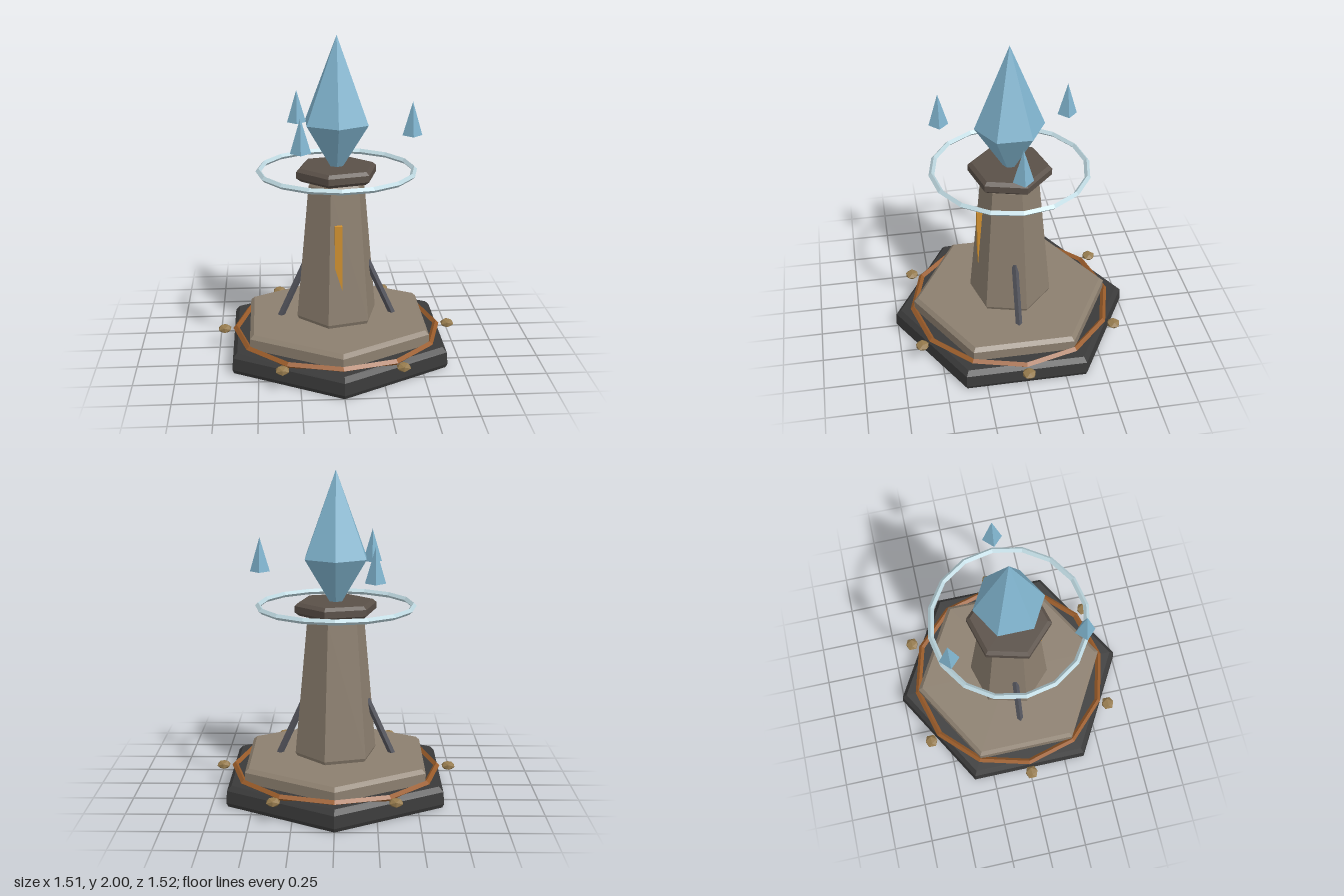
import * as THREE from 'three';

const paint = (name, color) => {
  const m = new THREE.MeshStandardMaterial({ color });
  m.name = name;
  return m;
};

export function createModel() {
  const group = new THREE.Group();
  const basalt = paint('basalt', 0x3a3a3a);
  const stone = paint('stone', 0x8c7f6f);
  const darkStone = paint('dark stone', 0x5a5048);
  const bronze = paint('bronze', 0x9a5c2a);
  const brass = paint('brass', 0x94794c);
  const crystalBlue = paint('crystal blue', 0x80b4ce);
  const paleSilver = paint('pale silver', 0xbcd6de);
  const amber = paint('amber', 0xd0902f);
  const iron = paint('iron', 0x55565e);

  // Faceted mesh: unshared vertices give flat normals
  const add = (name, geometry, material, x = 0, y = 0, z = 0) => {
    const flat = geometry.index ? geometry.toNonIndexed() : geometry;
    flat.computeVertexNormals();
    const mesh = new THREE.Mesh(flat, material);
    mesh.name = name;
    mesh.position.set(x, y, z);
    group.add(mesh);
    return mesh;
  };
  // Six-sided solid from [radius, height] pairs, bottom to top
  const hexSolid = (profile) =>
    new THREE.LatheGeometry(profile.map(([r, y]) => new THREE.Vector2(r, y)), 6);
  const ring = (radius, tube, sides) =>
    new THREE.TorusGeometry(radius, tube, 4, sides).rotateX(Math.PI / 2);

  // Stepped plinth
  add('plinth', hexSolid([[0, 0], [0.75, 0], [0.762, 0.025], [0.755, 0.1], [0.725, 0.13], [0, 0.13]]), basalt);
  add('platform', hexSolid([[0, 0.12], [0.635, 0.12], [0.635, 0.195], [0.608, 0.218], [0, 0.218]]), stone);
  add('plinthBand', ring(0.641, 0.02, 12), bronze, 0, 0.132, 0);

  // Studs around the plinth
  for (let i = 0; i < 6; i++) {
    const a = (i * Math.PI) / 3;
    const stud = new THREE.IcosahedronGeometry(0.046, 0).scale(1, 0.62, 1);
    add('stud', stud, brass, 0.715 * Math.cos(a), 0.13, 0.715 * Math.sin(a));
  }

  // Tapered column and its cap, turned a little
  const turn = -0.255;
  add('column', hexSolid([[0, 0.215], [0.25, 0.215], [0.262, 0.24], [0.182, 1.085], [0.165, 1.115], [0, 1.115]]), stone)
    .rotation.y = turn;
  add('columnCap', hexSolid([[0, 1.118], [0.232, 1.118], [0.26, 1.14], [0.26, 1.18], [0.236, 1.2], [0, 1.2]]), darkStone)
    .rotation.y = turn;

  // Amber inlay, sunk into the front of the column
  add('inlay', new THREE.BoxGeometry(0.046, 0.5, 0.04), amber, -0.001, 0.62, 0.191);

  // Slanted side braces
  for (const s of [-1, 1]) {
    const brace = add('brace', new THREE.CylinderGeometry(0.021, 0.021, 0.4, 4), iron, s * 0.277, 0.387, 0);
    brace.rotation.z = s * 0.423;
  }

  // Crystal, floating ring and shards
  add('crystal', hexSolid([[0, 1.13], [0.215, 1.47], [0, 2]]), crystalBlue);
  add('floatingRing', ring(0.48, 0.018, 16), paleSilver, 0, 1.17, 0);
  for (let i = 0; i < 3; i++) {
    const a = (i * Math.PI * 2) / 3;
    add('shard', new THREE.ConeGeometry(0.061, 0.21, 4), crystalBlue, 0.465 * Math.cos(a), 1.487, 0.465 * Math.sin(a));
  }
  return group;
}
